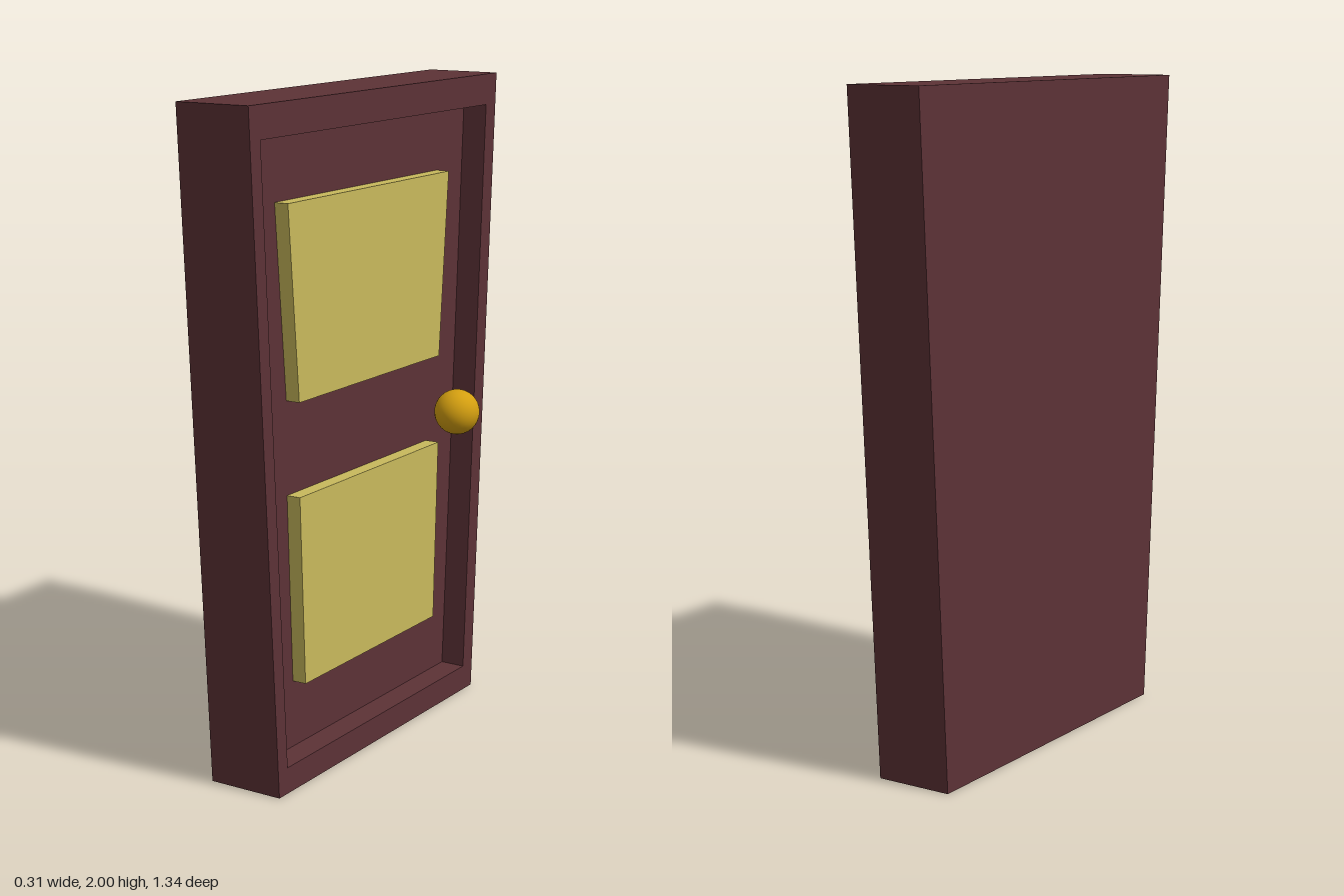
import * as THREE from 'three';

// Trapezoid outline: u runs to the right as seen facing the door
function trapezoid(y0, y1, bottom, top, Kind = THREE.Shape) {
  return new Kind([
    new THREE.Vector2(bottom[0], y0),
    new THREE.Vector2(bottom[1], y0),
    new THREE.Vector2(top[1], y1),
    new THREE.Vector2(top[0], y1),
  ]);
}

// Extrude an outline along +x between two x positions
function slab(name, shape, x0, x1, material) {
  const geometry = new THREE.ExtrudeGeometry(shape, { depth: x1 - x0, bevelEnabled: false });
  geometry.rotateY(Math.PI / 2);
  geometry.translate(x0, 0, 0);
  const mesh = new THREE.Mesh(geometry, material);
  mesh.name = name;
  return mesh;
}

export function createModel() {
  const group = new THREE.Group();
  group.name = 'door';
  const wood = new THREE.MeshStandardMaterial({ color: 0x5c3236 });
  const cream = new THREE.MeshStandardMaterial({ color: 0xc8b95c });
  const brass = new THREE.MeshStandardMaterial({ color: 0xd49f10 });

  const back = -0.155, recess = 0.005, front = 0.085;
  const outline = () => trapezoid(0, 2, [-0.557, 0.557], [-0.672, 0.672]);

  // Solid leaf, with a raised border around the recessed face
  group.add(slab('doorLeaf', outline(), back, recess, wood));
  const border = outline();
  border.holes.push(trapezoid(0.08, 1.905, [-0.514, 0.504], [-0.618, 0.608], THREE.Path));
  group.add(slab('doorBorder', border, recess, front, wood));

  // Raised panels
  group.add(slab('upperPanel', trapezoid(1.138, 1.712, [-0.39, 0.39], [-0.44, 0.44]), recess, 0.05, cream));
  group.add(slab('lowerPanel', trapezoid(0.285, 0.858, [-0.367, 0.367], [-0.39, 0.39]), recess, 0.05, cream));

  // Round knob resting on the recessed face
  const knob = new THREE.Mesh(new THREE.SphereGeometry(0.072, 32, 16), brass);
  knob.name = 'knob';
  knob.position.set(0.08, 0.948, -0.455);
  group.add(knob);

  return group;
}
